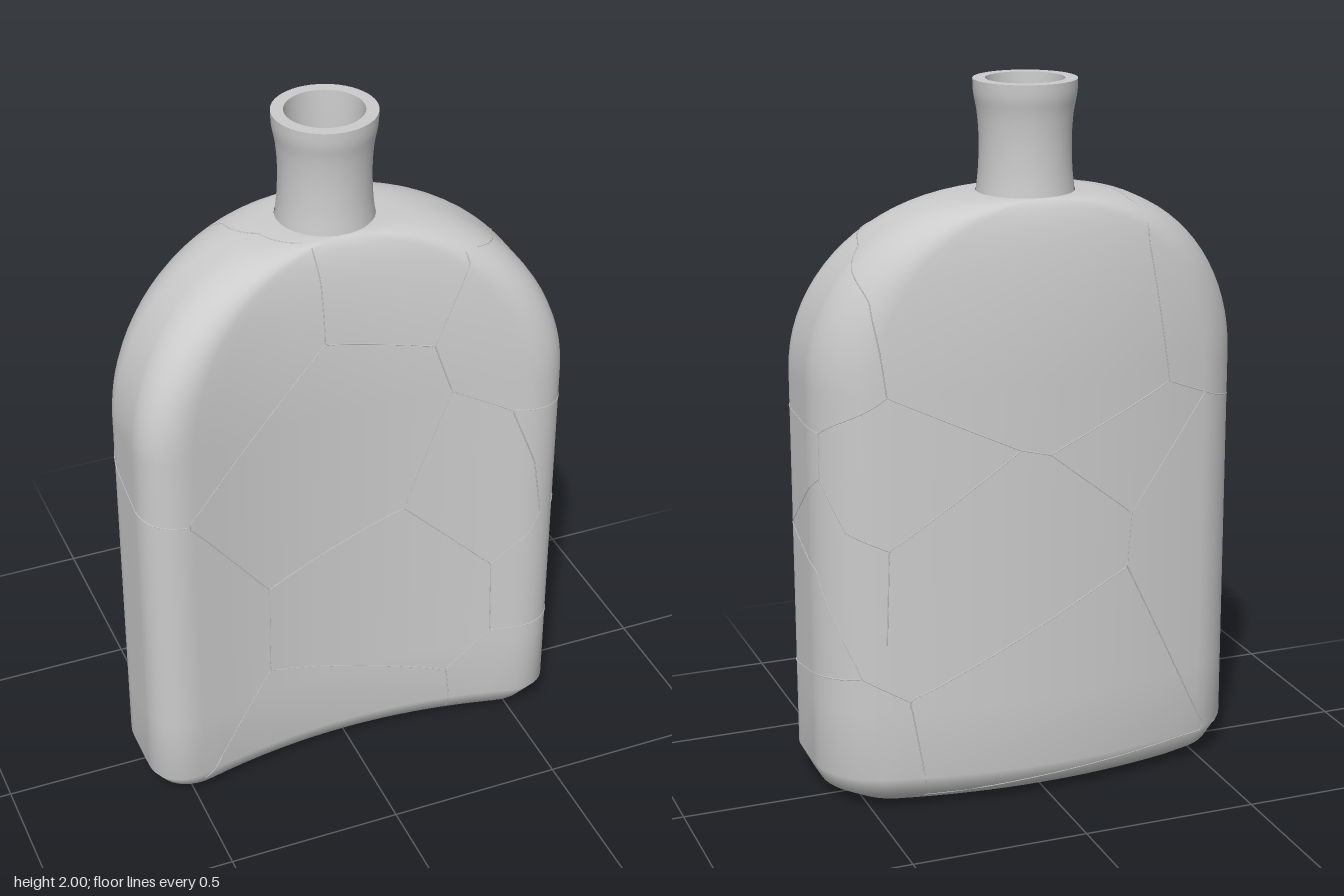
import * as THREE from 'three';

const TOP = 1.7, SHOULDER = 1.2, CENTRE_Z = -0.0375, WALL = 0.033;

// Half width, half depth, corner radius and bend of the body at height y
function profile(y, inset = 0) {
  let w = 0.62, d = 0.2075;
  if (y < 0.1) {
    const cut = y < 0.04 ? 0.095 - 1.625 * y : (0.1 - y) * 0.5;
    w -= cut;
    d -= cut;
  } else if (y > SHOULDER) {
    const t = Math.min(1, (y - SHOULDER) / (TOP - SHOULDER));
    const f = Math.sqrt(1 - t * t);
    w = 0.135 + 0.485 * f;
    d = 0.135 + 0.0725 * f;
  }
  w -= inset;
  d -= inset;
  return { w, d, r: Math.min(0.14 - inset, w, d), k: y >= TOP ? 0 : 0.28 };
}

// Rounded rectangle bent backwards in the middle
function section(y, inset = 0) {
  const { w, d, r, k } = profile(y, inset), pts = [];
  const corners = [[1, 1], [-1, 1], [-1, -1], [1, -1]];
  const put = (x, z) => pts.push([x, y, z + CENTRE_Z + k * x * x]);
  corners.forEach(([sx, sz], c) => {
    const cx = sx * (w - r), cz = sz * (d - r);
    for (let i = 0; i <= 10; i++) {
      const a = (c + i / 10) * Math.PI / 2;
      put(cx + r * Math.cos(a), cz + r * Math.sin(a));
    }
    // subdivide the long faces so that they follow the bend
    if (c % 2 === 0) for (let i = 1; i < 16; i++) put(cx * (1 - i / 8), cz + sz * r);
  });
  return pts;
}

function loft(rings) {
  const n = rings[0].length, index = [];
  for (let j = 0; j < rings.length - 1; j++) {
    for (let i = 0; i < n; i++) {
      const a = j * n + i, b = j * n + (i + 1) % n;
      index.push(a, a + n, b, b, a + n, b + n);
    }
  }
  const g = new THREE.BufferGeometry();
  g.setAttribute('position', new THREE.Float32BufferAttribute(rings.flat(2), 3));
  g.setIndex(index);
  g.computeVertexNormals();
  return g;
}

function cap(y, inset) {
  const shape = new THREE.Shape(section(y, inset).map(([x, , z]) => new THREE.Vector2(x, z)));
  return new THREE.ShapeGeometry(shape).rotateX(Math.PI / 2).translate(0, y, 0);
}

// Push a point onto the body's outer surface at its own height
function snap(p) {
  const { w, d, r, k } = profile(p.y);
  const z = p.z - CENTRE_Z - k * p.x * p.x;
  const cx = THREE.MathUtils.clamp(p.x, r - w, w - r), cz = THREE.MathUtils.clamp(z, r - d, d - r);
  const len = Math.hypot(p.x - cx, z - cz) || 1;
  const x = cx + r * (p.x - cx) / len;
  return new THREE.Vector3(x, p.y, cz + r * (z - cz) / len + CENTRE_Z + k * x * x);
}

// Hairline crack through control points, following the surface
function crack(points) {
  const ctrl = points.map(p => snap(new THREE.Vector3(...p))), path = [ctrl[0]];
  for (let s = 1; s < ctrl.length; s++) {
    for (let i = 1; i <= 10; i++) path.push(snap(ctrl[s - 1].clone().lerp(ctrl[s], i / 10)));
  }
  return new THREE.TubeGeometry(new THREE.CatmullRomCurve3(path), path.length * 2, 0.0018, 4);
}

// Crack paths on the front and back faces as x, y
const FRONT = [
  [[-0.11, 1.69], [-0.085, 1.6], [-0.08, 1.42], [0.23, 1.35], [0.28, 1.2], [0.15, 0.83], [-0.26, 0.67]],
  [[0.23, 1.35], [0.35, 1.58], [0.39, 1.61]],
  [[0.28, 1.2], [0.45, 1.115], [0.55, 0.93], [0.6, 0.75]],
  [[0.15, 0.83], [0.41, 0.585], [0.415, 0.34], [0.29, 0.21], [0.31, 0.01]],
  [[0.41, 0.585], [0.55, 0.69], [0.6, 0.75]],
  [[0.29, 0.21], [-0.26, 0.38], [-0.26, 0.67], [-0.52, 0.99], [-0.08, 1.42]],
  [[-0.26, 0.38], [-0.57, 0.03]],
];
const BACK = [
  [[0.45, 1.2], [0.09, 1.03], [0.007, 1.01], [-0.36, 1.17], [-0.485, 1.12], [-0.243, 0.81], [0.007, 1.01]],
  [[0.09, 1.03], [0.45, 0.77], [0.46, 0.5]],
  [[-0.243, 0.81], [-0.23, 0.655], [0.4, 0.33], [0.35, 0.03]],
  [[-0.23, 0.655], [-0.54, 0.1], [0.35, 0.03]],
];
// Crack paths that wrap around the sides and over the shoulder as x, y, z
const WRAP = [
  [[0.39, 1.61, 0.19], [0.45, 1.57, 0], [0.48, 1.45, -0.15], [0.45, 1.2, -0.3]],
  [[0.45, 1.115, 0.3], [0.62, 1.1, 0.15], [0.62, 1.085, -0.07], [0.45, 1.2, -0.3]],
  [[0.6, 0.75, 0.22], [0.62, 0.765, 0.16], [0.62, 0.96, -0.07], [0.62, 1.085, -0.07]],
  [[0.62, 0.765, 0.16], [0.62, 0.69, -0.04], [0.52, 0.4, -0.15], [0.4, 0.33, -0.3]],
  [[0.62, 0.96, -0.07], [0.55, 0.82, -0.13], [0.45, 0.77, -0.3]],
  [[0.415, 0.34, 0.3], [0.62, 0.35, 0.15], [0.62, 0.375, 0], [0.52, 0.4, -0.15]],
  [[-0.52, 0.99, 0.3], [-0.62, 1.01, 0.15], [-0.62, 1.05, 0], [-0.485, 1.12, -0.3]],
  [[-0.36, 1.17, -0.3], [-0.33, 1.655, -0.2], [-0.28, 1.675, -0.13], [-0.2, 1.695, 0], [-0.13, 1.697, 0.12]],
  [[-0.57, 0.03, 0.2], [-0.6, 0.06, 0.05], [-0.54, 0.1, -0.15]],
];

export function createModel() {
  const model = new THREE.Group();
  model.name = 'crackedFlask';
  const grey = new THREE.MeshStandardMaterial({ color: 0xcccccc });
  const twoSided = new THREE.MeshStandardMaterial({ color: 0xcccccc, side: THREE.DoubleSide });
  const add = (name, geometry, material = grey, parent = model) => {
    const mesh = new THREE.Mesh(geometry, material);
    mesh.name = name;
    parent.add(mesh);
  };

  // Body: straight walls, then rounded shoulders
  const heights = [0, 0.04, 0.1, 0.3, 0.6, 0.9, SHOULDER];
  for (let i = 1; i <= 20; i++) {
    heights.push(i === 20 ? TOP : SHOULDER + (TOP - SHOULDER) * Math.sin(i / 20 * Math.PI / 2));
  }
  add('body', loft(heights.map(y => section(y))));
  add('base', cap(0, 0));

  // Hollow inside, lofted downwards so that it faces inwards
  const inner = heights.map(y => section(y, WALL).map(([x, h, z]) => [x, WALL + h * (TOP - 2 * WALL) / TOP, z]));
  add('cavity', loft(inner.reverse()));
  add('cavityFloor', cap(0, WALL).translate(0, WALL, 0), twoSided);

  // Flared neck with a flat lip and a round bore
  const lathe = pts => new THREE.LatheGeometry(pts.map(p => new THREE.Vector2(...p)), 48).translate(0, 0, CENTRE_Z);
  const flare = new THREE.SplineCurve([[0.134, 1.695], [0.127, 1.76], [0.125, 1.84], [0.13, 1.91], [0.139, 1.96], [0.141, 2]]
    .map(p => new THREE.Vector2(...p)));
  add('neck', lathe(flare.getPoints(20).map(p => [p.x, p.y])));
  add('lip', lathe([[0.141, 2], [0.107, 2]]));
  add('bore', lathe([[0.107, 2], [0.1, 1.85], [0.102, TOP - WALL]]));

  // Cracks
  const cracks = new THREE.Group();
  cracks.name = 'cracks';
  model.add(cracks);
  const onFace = z => path => path.map(([x, y]) => [x, y, z]);
  [...FRONT.map(onFace(0.35)), ...BACK.map(onFace(-0.35)), ...WRAP]
    .forEach(path => add('crack', crack(path), grey, cracks));
  return model;
}
